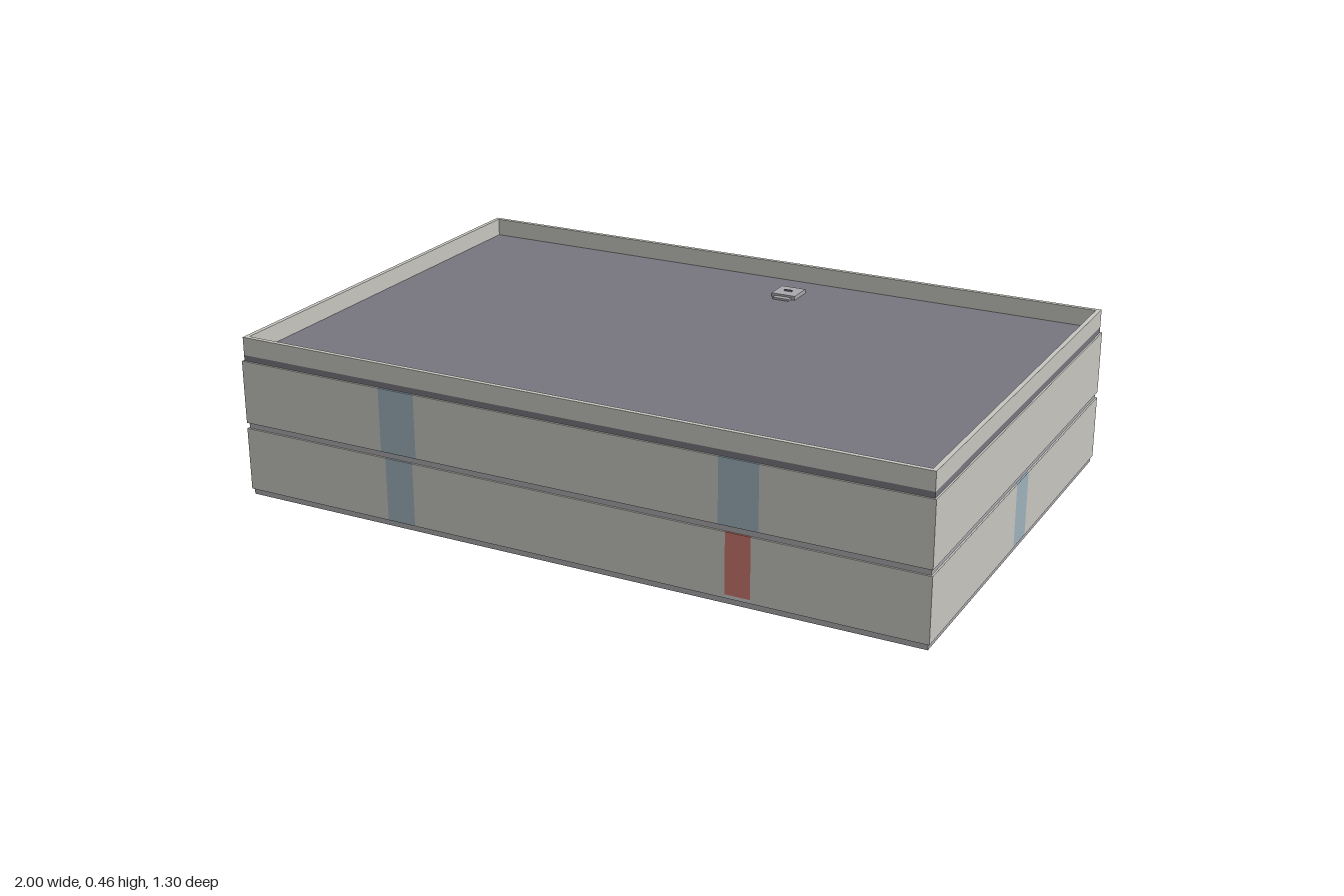
import * as THREE from 'three';

const mat = (color) => new THREE.MeshStandardMaterial({ color });
const M = {
  wall: mat(0xc6c5bf), slab: mat(0xa9a9ae), roof: mat(0x77767e),
  glass: mat(0x9db0bb), red: mat(0xc8766c), teal: mat(0x2b8c99), light: mat(0xcccccc),
};
const HX = 1, HZ = 0.65, T = 0.015, INSET = 0.005;
const SLAB = 0.0165, WALL_H = 0.18, STOREY = SLAB + WALL_H;

// Box given by its min and max on each axis
function box(parent, name, material, [x0, x1], [y0, y1], [z0, z1]) {
  const mesh = new THREE.Mesh(new THREE.BoxGeometry(x1 - x0, y1 - y0, z1 - z0), material);
  mesh.position.set((x0 + x1) / 2, (y0 + y1) / 2, (z0 + z1) / 2);
  mesh.name = name;
  parent.add(mesh);
  return mesh;
}

// Straight wall along x or z, split by full-height bays.
// Bay: { c: centre, w: width, name, mat, lo, hi }; lo and hi bound the filling panel above the wall foot.
function wall(parent, name, axis, [a0, a1], across, y0, bays = []) {
  const group = new THREE.Group();
  group.name = name;
  parent.add(group);
  const piece = (n, m, span, ys) => (axis === 'x'
    ? box(group, n, m, span, ys, across) : box(group, n, m, across, ys, span));
  let start = a0;
  for (const b of [...bays].sort((p, q) => p.c - q.c)) {
    const lo = b.c - b.w / 2, hi = b.c + b.w / 2;
    piece('wallPanel', M.wall, [start, lo], [y0, y0 + WALL_H]);
    piece(b.name, b.mat, [lo, hi], [y0 + (b.lo ?? 0), y0 + (b.hi ?? WALL_H)]);
    start = hi;
  }
  piece('wallPanel', M.wall, [start, a1], [y0, y0 + WALL_H]);
}

const windowBay = (c, w) => ({ c, w, name: 'window', mat: M.glass });
const redDoor = (c) => ({ c, w: 0.07, name: 'redDoor', mat: M.red, lo: 0.01 });
const shutter = (c, w, lo) => ({ c, w, name: 'rollShutter', mat: M.teal, lo });

// One floor: slab plus four outer walls
function storey(name, level, bays) {
  const g = new THREE.Group();
  g.name = name;
  const y = level * STOREY, foot = y + SLAB;
  box(g, 'floorSlab', M.slab, [-HX + INSET, HX - INSET], [y, foot], [-HZ + INSET, HZ - INSET]);
  wall(g, 'frontWall', 'x', [-HX, HX], [HZ - T, HZ], foot, bays.front);
  wall(g, 'backWall', 'x', [-HX, HX], [-HZ, -HZ + T], foot, bays.back);
  wall(g, 'leftWall', 'z', [-HZ + T, HZ - T], [HX - T, HX], foot, bays.left);
  wall(g, 'rightWall', 'z', [-HZ + T, HZ - T], [-HX, -HX + T], foot, bays.right);
  return g;
}

export function createModel() {
  const model = new THREE.Group();
  model.name = 'building';

  const ground = storey('groundFloor', 0, {
    front: [windowBay(-0.5, 0.085), redDoor(0.495)],
    back: [shutter(0, 0.2, 0.155)],
    left: [windowBay(0, 0.09)],
    right: [shutter(0.25, 0.066, 0.09)],
  });
  model.add(ground);

  // Door sill and the inner partition beside the loading bay
  box(ground, 'doorSill', M.light, [0.46, 0.53], [SLAB, SLAB + 0.01], [HZ - T, HZ]);
  wall(ground, 'partition', 'z', [-HZ + T, -0.25], [-0.115, -0.103], SLAB, [redDoor(-0.575)]);

  model.add(storey('upperFloor', 1, {
    front: [windowBay(-0.5, 0.11), windowBay(0.495, 0.11)],
    back: [windowBay(0, 0.08)],
  }));

  // Roof deck with parapet
  const roof = new THREE.Group();
  roof.name = 'roof';
  model.add(roof);
  const ry = 2 * STOREY, deck = ry + SLAB, top = 0.461;
  const rx = HX - INSET, rz = HZ - INSET, pt = 0.013;
  box(roof, 'roofDeck', M.roof, [-rx, rx], [ry, deck], [-rz, rz]);
  for (const s of [-1, 1]) {
    const zs = [s * rz, s * (rz - pt)].sort((a, b) => a - b);
    const xs = [s * rx, s * (rx - pt)].sort((a, b) => a - b);
    box(roof, 'parapet', M.wall, [-rx, rx], [deck, top], zs);
    box(roof, 'parapet', M.wall, xs, [deck, top], [-rz + pt, rz - pt]);
  }

  // Roof hatch with a narrow step and a small handle
  const hatch = new THREE.Group();
  hatch.name = 'roofHatch';
  roof.add(hatch);
  box(hatch, 'hatchLid', M.slab, [0.06, 0.135], [deck, deck + 0.012], [-0.54, -0.465]);
  box(hatch, 'hatchStep', M.slab, [0.072, 0.123], [deck, deck + 0.006], [-0.465, -0.447]);
  box(hatch, 'hatchHandle', M.roof, [0.085, 0.11], [deck + 0.012, deck + 0.016], [-0.505, -0.499]);

  return model;
}
